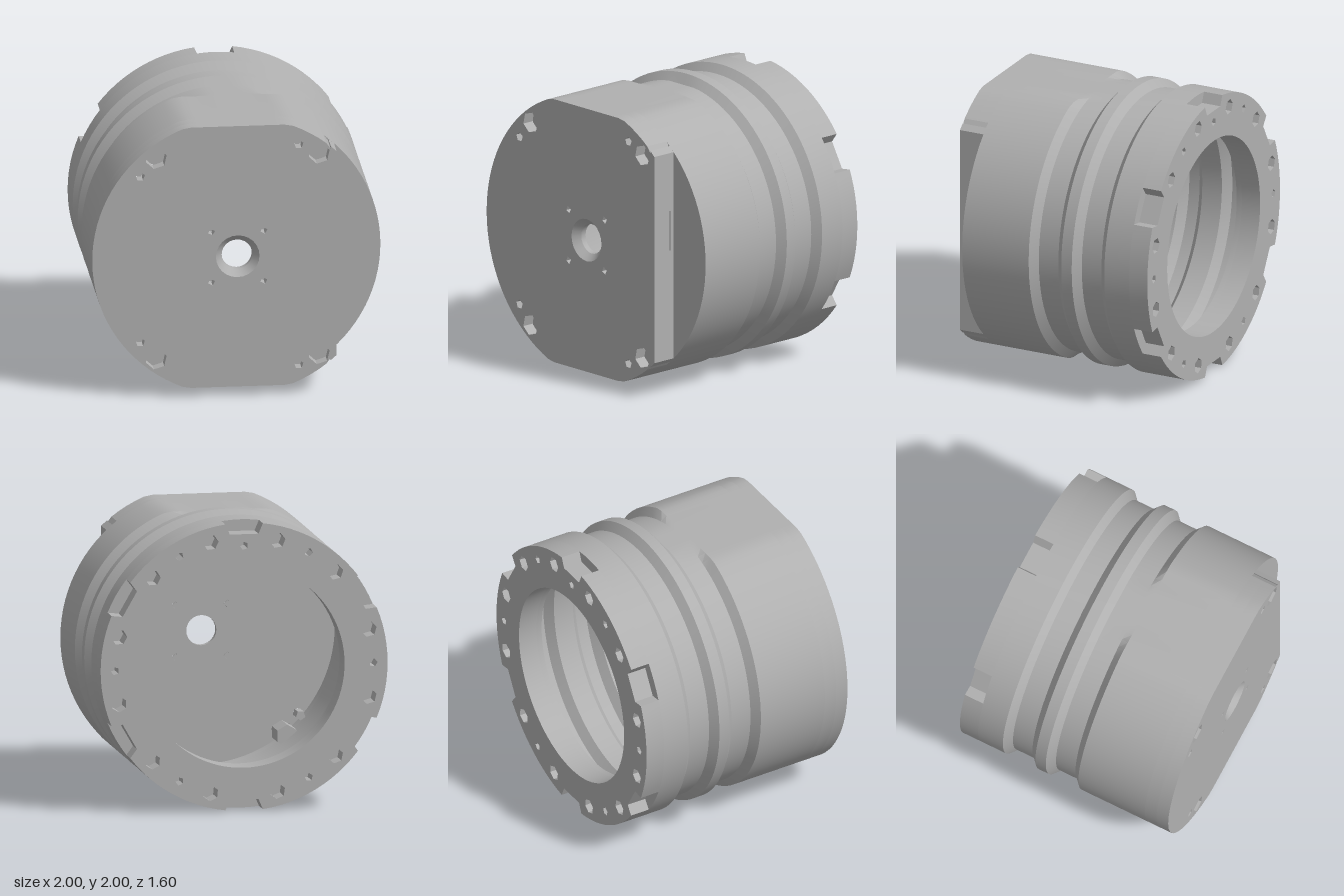
import * as THREE from 'three';
import { toCreasedNormals } from 'three/addons/utils/BufferGeometryUtils.js';

const SEG = 96, FLAT = 0.935;
const clamp = THREE.MathUtils.clamp;
const rad = THREE.MathUtils.degToRad;

// circle points, cut by the top and bottom flats and by a plane at x = xMax
function cutCircle(r, xMax) {
  const pts = [];
  for (let i = 0; i < SEG; i++) {
    const a = (i / SEG) * Math.PI * 2;
    pts.push(new THREE.Vector2(Math.min(r * Math.cos(a), xMax), clamp(r * Math.sin(a), -FLAT, FLAT)));
  }
  return pts;
}

function polygon(x, y, r, sides, turn = 0) {
  const pts = [];
  for (let i = 0; i < sides; i++) {
    const a = turn + (i / sides) * Math.PI * 2;
    pts.push(new THREE.Vector2(x + r * Math.cos(a), y + r * Math.sin(a)));
  }
  return pts;
}

function slab(outline, holes, z0, z1) {
  const shape = new THREE.Shape(outline);
  for (const h of holes) shape.holes.push(new THREE.Path(h));
  const g = new THREE.ExtrudeGeometry(shape, { depth: z1 - z0, bevelEnabled: false });
  g.translate(0, 0, z0);
  return toCreasedNormals(g, 0.3);
}

// profile of [radius, z] pairs turned around the z axis
function turned(profile, segments = SEG) {
  const g = new THREE.LatheGeometry(profile.map(p => new THREE.Vector2(...p)), segments);
  return g.rotateX(Math.PI / 2);
}

export function createModel() {
  const metal = new THREE.MeshStandardMaterial({ color: 0xb0b0b0 });
  const body = new THREE.Group();
  body.name = 'housing';
  body.position.y = 1;
  const add = (name, geometry) => {
    const m = new THREE.Mesh(geometry, metal);
    m.name = name;
    body.add(m);
    return m;
  };

  // grooved hollow barrel, with flats on the front half
  const barrel = turned([
    [0.70, -0.66], [1, -0.66], [1, -0.47], [0.945, -0.42], [0.945, -0.27], [1, -0.22], [1, -0.14],
    [0.945, -0.09], [0.945, 0.06], [1, 0.11], [1, 0.62], [0.93, 0.62], [0.93, 0.12], [0.87, 0.06],
    [0.87, -0.09], [0.93, -0.14], [0.93, -0.22], [0.87, -0.27], [0.87, -0.42], [0.93, -0.47],
    [0.93, -0.62], [0.70, -0.62], [0.70, -0.66],
  ]);
  const p = barrel.attributes.position;
  for (let i = 0; i < p.count; i++) {
    if (p.getZ(i) > -0.1) p.setY(i, clamp(p.getY(i), -FLAT, FLAT));
  }
  add('barrel', toCreasedNormals(barrel, 0.3));

  // rear flange with six notches and a ring of bolt holes
  const rim = [];
  const polar = (a, r, t = 0) =>
    new THREE.Vector2(r * Math.cos(a) - t * Math.sin(a), r * Math.sin(a) + t * Math.cos(a));
  for (let k = 0; k < 6; k++) {
    const a = rad(30 + 60 * k);
    rim.push(polar(a, 0.92, -0.1), polar(a, 0.92, 0.1));
    for (let j = 0; j <= 12; j++) rim.push(polar(a + rad(7.5 + j * 3.75), 1));
  }
  const rearHoles = [polygon(0, 0, 0.70, SEG)];
  for (let k = 0; k < 12; k++) {
    const c = polar(rad(15 + 30 * k), 0.9);
    rearHoles.push(polygon(c.x, c.y, 0.055, 6, k));
  }
  for (let k = 0; k < 6; k++) {
    const c = polar(rad(60 * k), 0.9);
    rearHoles.push(polygon(c.x, c.y, 0.03, 5, k));
  }
  rearHoles.push(polygon(0, 0.84, 0.03, 5));
  add('rearFlange', slab(rim, rearHoles, -0.8, -0.66));

  // front wall ring, ending at the side step
  add('frontRing', slab(cutCircle(1, 0.64), [cutCircle(0.93, 0.6)], 0.62, 0.71));

  // ledge closing the cavity behind the side step
  const ledge = [];
  const half = Math.acos(0.61 / 0.96);
  for (let i = 0; i <= 24; i++) ledge.push(polar(half * (i / 12 - 1), 0.96));
  add('stepLedge', slab(ledge, [], 0.53, 0.62));

  // front plate with screw pockets, each closed by a boss behind it
  const pockets = [];
  for (const s of [1, -1]) {
    pockets.push([-0.56, 0.72 * s, 0.075, 6, 0.2], [0.56, 0.72 * s, 0.075, 6, 0.2]);
    pockets.push([-0.67, 0.595 * s, 0.033, 5, 0.12], [0.42, 0.79 * s, 0.033, 5, 0.12]);
    pockets.push([-0.18, 0.18 * s, 0.025, 4, 0.02], [0.18, 0.18 * s, 0.025, 4, 0.02]);
  }
  const frontHoles = pockets.map(([x, y, r, n]) => polygon(x, y, r, n, 0.3));
  frontHoles.push(polygon(0, 0, 0.15, 24));
  add('frontPlate', slab(cutCircle(1, 0.64), frontHoles, 0.71, 0.8));
  for (const [x, y, r, n, length] of pockets) {
    const g = new THREE.CylinderGeometry(r * 1.05, r * 1.05, length, n).rotateX(Math.PI / 2);
    g.translate(x, y, 0.715 - length / 2);
    add('screwBoss', toCreasedNormals(g, 0.3));
  }

  // countersunk centre hole
  add('centreHole', toCreasedNormals(
    turned([[0.15, 0.8], [0.105, 0.75], [0.105, 0.71], [0.15, 0.71]], 24), 0.3));

  // side step facing with a rectangular recess; built in (z, y), thickness along x
  const box = (z0, z1, y0, y1) => [[z0, y0], [z1, y0], [z1, y1], [z0, y1]]
    .map(([z, y]) => new THREE.Vector2(-z, y));
  const facing = slab(box(0.62, 0.8, -0.733, 0.733), [box(0.65, 0.775, 0.04, 0.32)], 0.64, 0.68);
  facing.rotateY(Math.PI / 2);
  const f = facing.attributes.position;
  for (let i = 0; i < f.count; i++) {
    const y = f.getY(i);
    if (Math.abs(y) > 0.7 && f.getX(i) < 0.66) f.setY(i, Math.sign(y) * 0.768);
  }
  facing.computeVertexNormals();
  add('stepFacing', facing);

  const model = new THREE.Group();
  model.name = 'grooved housing';
  model.add(body);
  return model;
}
